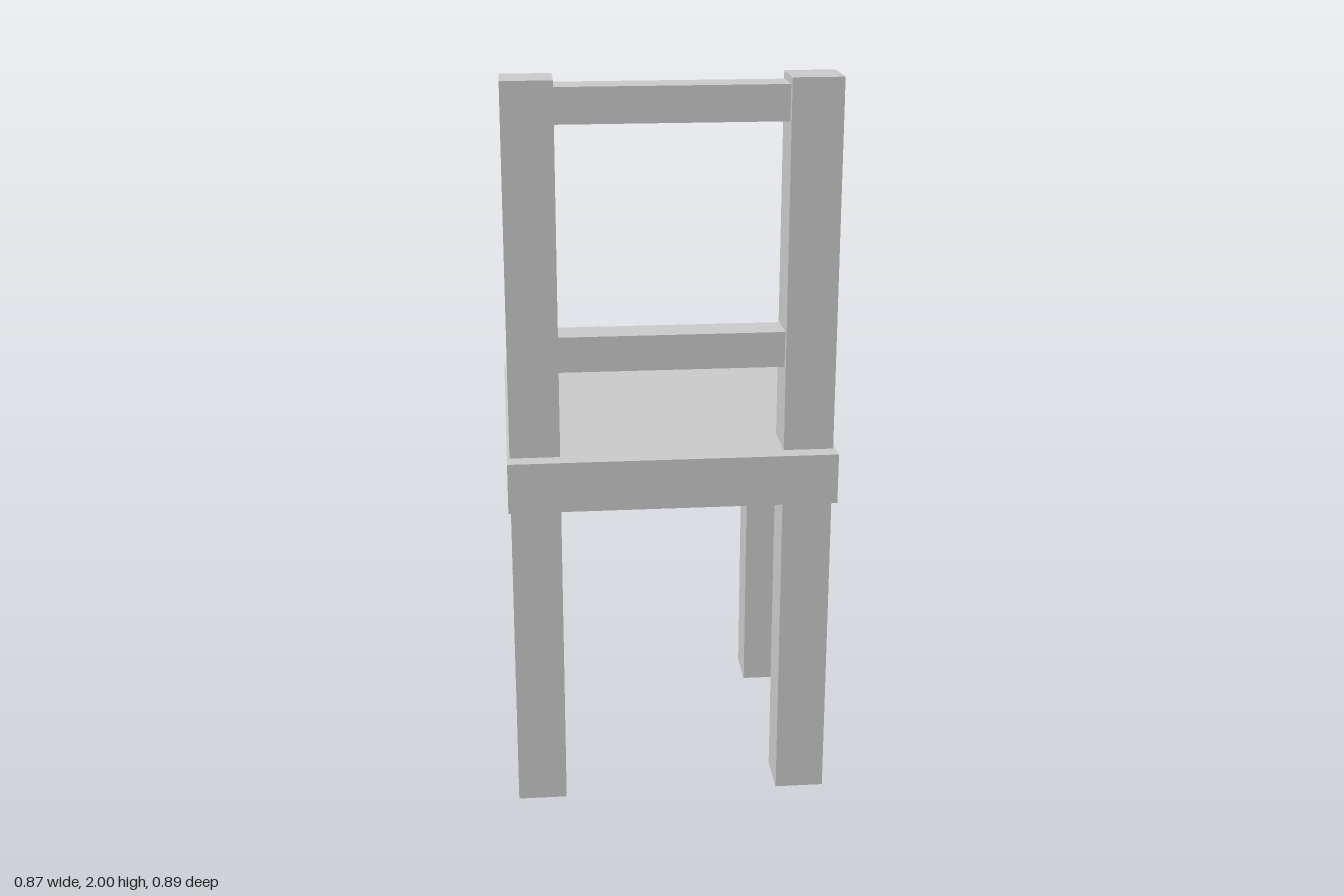
import * as THREE from 'three';

export function createModel() {
  const chair = new THREE.Group();
  chair.name = 'chair';
  const material = new THREE.MeshStandardMaterial({ color: 0xcccccc, flatShading: true });

  // Box given by its minimum and maximum corners
  function box(name, [x0, y0, z0], [x1, y1, z1]) {
    const mesh = new THREE.Mesh(new THREE.BoxGeometry(x1 - x0, y1 - y0, z1 - z0), material);
    mesh.position.set((x0 + x1) / 2, (y0 + y1) / 2, (z0 + z1) / 2);
    mesh.name = name;
    chair.add(mesh);
  }

  const seatBottom = 0.88, seatTop = 1.017;
  const inner = 0.297, outer = 0.43; // post edges in x

  // Seat slab
  box('seat', [-0.437, seatBottom, -0.447], [0.437, seatTop, 0.447]);

  // Legs and backrest posts; the backrest stands on the +z side
  for (const [side, x0, x1] of [['left', inner, outer], ['right', -outer, -inner]]) {
    box(`${side}LegPlain`, [x0, 0, -0.4], [x1, seatBottom, -0.267]);
    box(`${side}LegUnderBackrest`, [x0, 0, 0.267], [x1, seatBottom, 0.4]);
    box(`${side}BackrestPost`, [x0, seatTop, 0.267], [x1, 2, 0.4]);
  }

  // Backrest rails between the posts
  box('lowerRail', [-inner, 1.243, 0.286], [inner, 1.338, 0.381]);
  box('upperRail', [-inner, 1.888, 0.286], [inner, 1.981, 0.381]);

  return chair;
}
